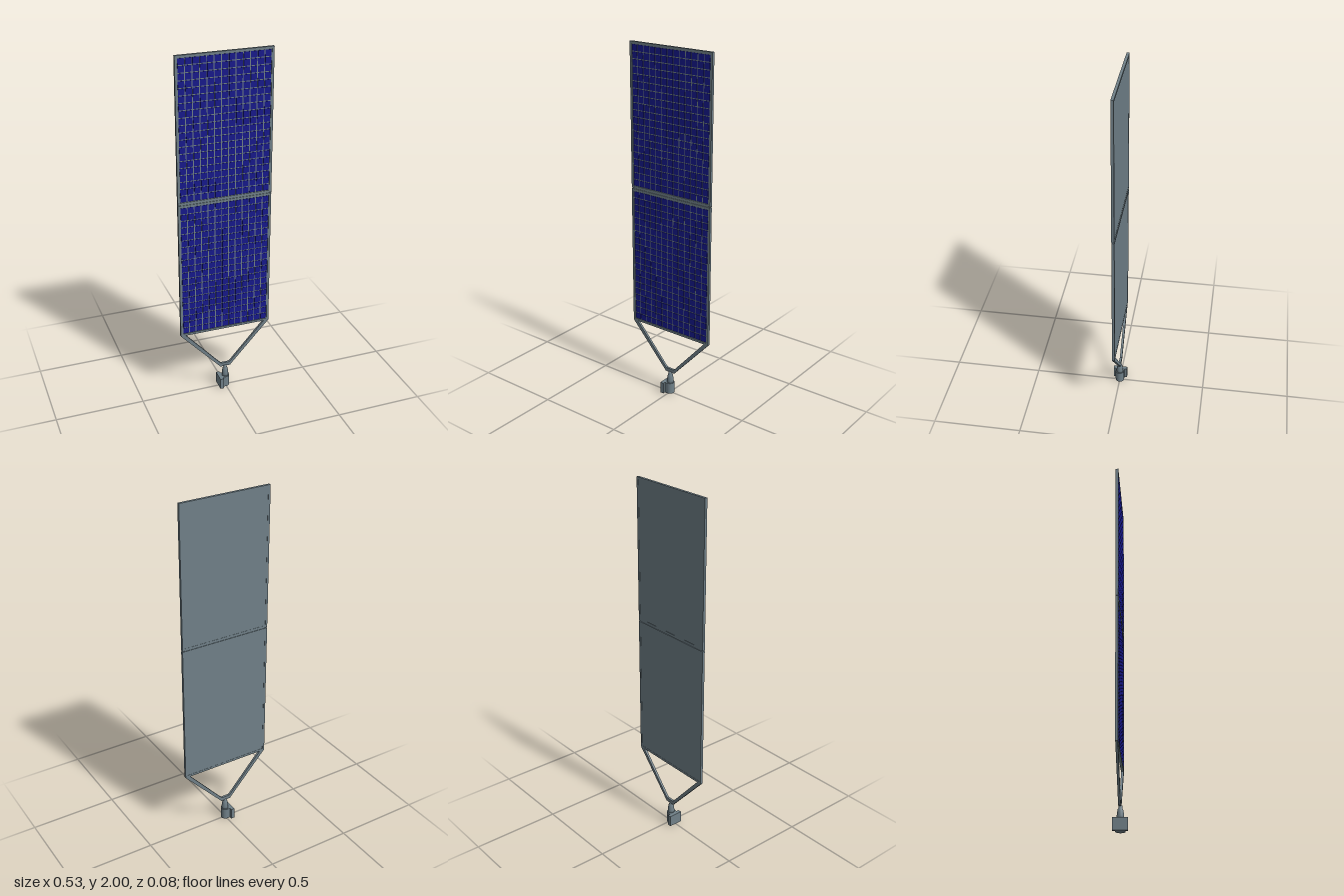
import * as THREE from 'three';
import { mergeGeometries } from 'three/addons/utils/BufferGeometryUtils.js';

const metal = new THREE.MeshStandardMaterial({ color: 0x708088 });
const cellBlue = new THREE.MeshStandardMaterial({ color: 0x16188c });
const MID_Z = -0.003, DEPTH = 0.015;

function box(w, h, d, x, y, z) {
  return new THREE.BoxGeometry(w, h, d).translate(x, y, z);
}

function mesh(name, geometry, material = metal) {
  const m = new THREE.Mesh(geometry, material);
  m.name = name;
  return m;
}

function polygon(points) {
  return new THREE.Shape(points.map(([x, y]) => new THREE.Vector2(x, y)));
}

// One framed panel: back plate, raised rim and a grid of cells
function solarPanel(name, y0, y1) {
  const panel = new THREE.Group();
  panel.name = name;
  const W = 0.53, rim = 0.013, cols = 13, rows = 20;
  const h = y1 - y0, yc = (y0 + y1) / 2;
  const back = MID_Z - DEPTH / 2;
  panel.add(mesh('backPlate', box(W - 0.004, h - 0.004, 0.01, 0, yc, back + 0.006)));

  const outline = polygon([[-W / 2, y0], [W / 2, y0], [W / 2, y1], [-W / 2, y1]]);
  const ix = W / 2 - rim;
  outline.holes.push(polygon([[-ix, y0 + rim], [-ix, y1 - rim], [ix, y1 - rim], [ix, y0 + rim]]));
  const frame = new THREE.ExtrudeGeometry(outline, { depth: DEPTH, bevelEnabled: false });
  panel.add(mesh('panelFrame', frame.translate(0, 0, back)));

  const cw = 2 * ix / cols, ch = (h - 2 * rim) / rows, gap = 0.005;
  const cells = [];
  for (let i = 0; i < cols; i++) {
    for (let j = 0; j < rows; j++) {
      cells.push(box(cw - gap, ch - gap, 0.003,
        -ix + (i + 0.5) * cw, y0 + rim + (j + 0.5) * ch, 0.001));
    }
  }
  panel.add(mesh('solarCells', mergeGeometries(cells), cellBlue));
  return panel;
}

export function createModel() {
  const model = new THREE.Group();
  model.name = 'solarArray';

  model.add(solarPanel('lowerPanel', 0.388, 1.192));
  model.add(solarPanel('upperPanel', 1.196, 2.0));

  // Hinge strip between the panels
  model.add(mesh('hinge', box(0.5, 0.012, 0.009, 0, 1.194, MID_Z)));

  // V-shaped yoke carrying the panels
  const yoke = polygon([
    [-0.265, 0.388], [-0.04, 0.142], [-0.03, 0.13], [0.03, 0.13], [0.04, 0.142], [0.265, 0.388],
    [0.238, 0.39], [0.036, 0.163], [0.024, 0.152], [-0.024, 0.152], [-0.036, 0.163], [-0.238, 0.39],
  ]);
  const yokeGeo = new THREE.ExtrudeGeometry(yoke, { depth: 0.013, bevelEnabled: false });
  model.add(mesh('yoke', yokeGeo.translate(0, 0, MID_Z - 0.0065)));

  // Rotating neck with a domed top
  const neck = [[0, 0.06], [0.019, 0.06], [0.019, 0.08], [0.017, 0.1], [0.014, 0.115],
    [0.01, 0.122], [0.01, 0.135], [0, 0.135]].map(([r, y]) => new THREE.Vector2(r, y));
  model.add(mesh('neck', new THREE.LatheGeometry(neck, 24)));

  // D-shaped motor housing, rounded towards +x
  const plan = new THREE.Shape();
  plan.moveTo(-0.022, -0.025);
  plan.lineTo(-0.002, -0.025);
  plan.absarc(-0.002, 0, 0.025, -Math.PI / 2, Math.PI / 2, false);
  plan.lineTo(-0.022, 0.025);
  plan.closePath();
  const housing = new THREE.ExtrudeGeometry(plan, { depth: 0.066, bevelEnabled: false, curveSegments: 16 });
  model.add(mesh('motorHousing', housing.rotateX(-Math.PI / 2)));

  // Flat mounting plate
  model.add(mesh('mountingPlate', box(0.021, 0.066, 0.08, -0.031, 0.033, 0)));

  return model;
}
